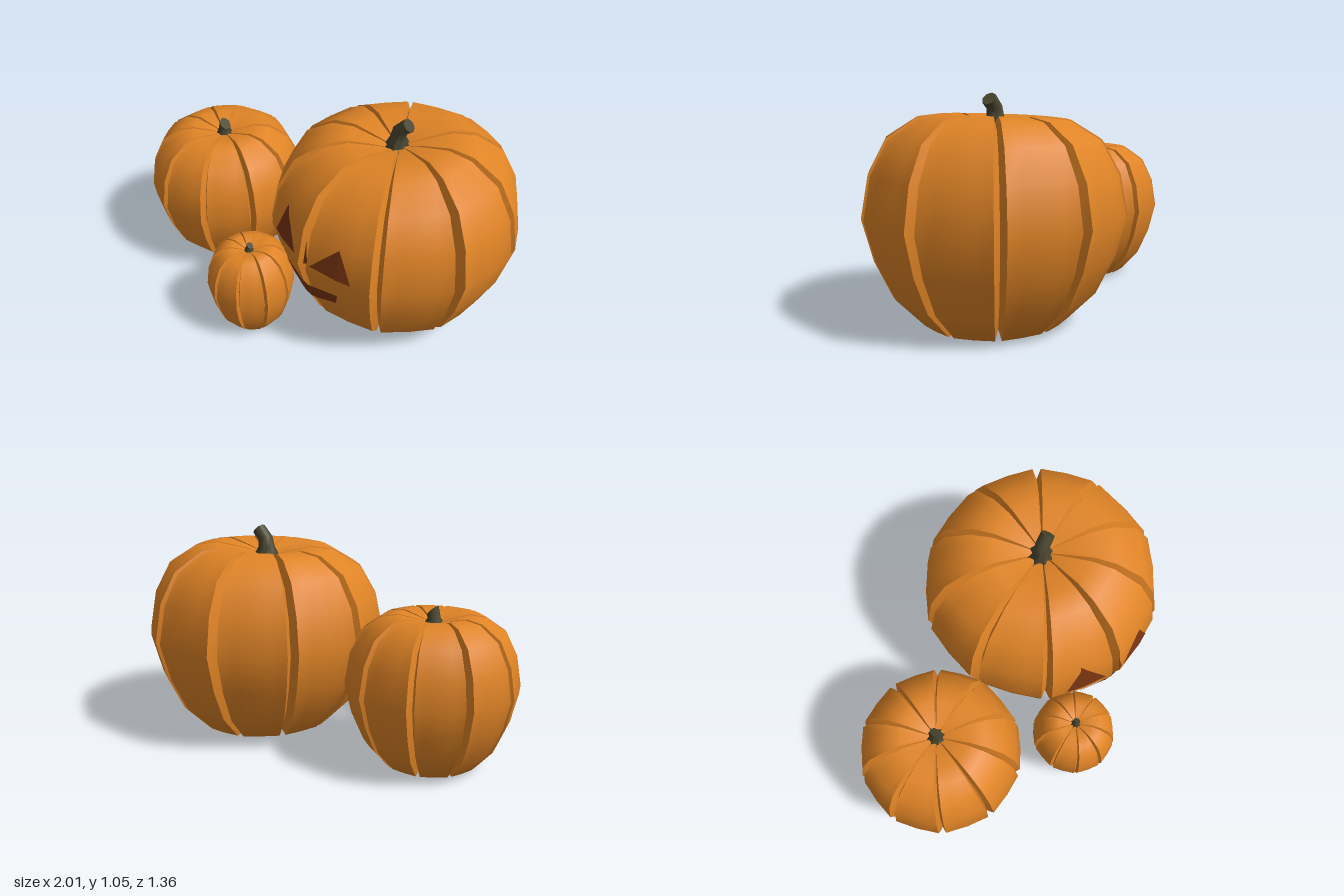
import * as THREE from 'three';
import { mergeGeometries } from 'three/addons/utils/BufferGeometryUtils.js';

const orange = new THREE.MeshStandardMaterial({ color: 0xe08426 });
orange.name = 'pumpkinOrange';
const stemGreen = new THREE.MeshStandardMaterial({ color: 0x4a4630 });
stemGreen.name = 'stemGreen';
const carved = new THREE.MeshStandardMaterial({ color: 0x7a3512, side: THREE.DoubleSide });
carved.name = 'carvedBrown';

// Smooth sheet through fn(u, v) for every listed u and v
function sheet(us, vs, fn) {
  const pos = [], index = [], n = vs.length;
  us.forEach((u) => vs.forEach((v) => pos.push(...fn(u, v))));
  for (let i = 0; i < us.length - 1; i++) {
    for (let j = 0; j < n - 1; j++) {
      const a = i * n + j, b = a + n;
      index.push(a, a + 1, b, b, a + 1, b + 1);
    }
  }
  const g = new THREE.BufferGeometry();
  g.setAttribute('position', new THREE.Float32BufferAttribute(pos, 3));
  g.setIndex(index);
  g.computeVertexNormals();
  return g;
}

// Rib outline from bottom centre to top centre: radius, height
const PROFILE = [
  [0, 0.06], [0.15, 0.03], [0.34, 0.015], [0.47, 0.15], [0.55, 0.32], [0.6, 0.51],
  [0.565, 0.7], [0.485, 0.85], [0.35, 0.935], [0.24, 0.95], [0.1, 0.92], [0, 0.89],
];
const MID = 0.485;
const RIBS = 10, STEP = 36, EDGE = 2.5;

// Ten ribs separated by narrow V grooves
function pumpkinGeometry({ x, y, z, rScale, yScale, lean }, groove) {
  const rows = PROFILE.map((_, i) => i);
  const point = (deg, row) => {
    const t = ((deg % STEP) + STEP) % STEP;
    const inGroove = t < 0.01 || t > STEP - 0.01;
    const atEdge = t < EDGE + 0.01 || t > STEP - EDGE - 0.01;
    const a = THREE.MathUtils.degToRad(deg);
    const depth = inGroove ? groove : 1;
    const r = PROFILE[row][0] * rScale * depth * (atEdge ? 1.02 : 1);
    const h = (PROFILE[row][1] - MID) * depth * (1 + lean * Math.cos(a));
    return [x + r * Math.cos(a), y + (MID + h) * yScale, z + r * Math.sin(a)];
  };
  const parts = [];
  for (let i = 0; i < RIBS; i++) {
    const s = i * STEP;
    parts.push(sheet([EDGE, 10, 18, 26, STEP - EDGE].map((d) => s + d), rows, point));
    parts.push(sheet([s + STEP - EDGE, s + STEP], rows, point));
    parts.push(sheet([s + STEP, s + STEP + EDGE], rows, point));
  }
  return mergeGeometries(parts);
}

// Bent stem from rings of [x, y, radius, tilt], with a ridged foot and a flat cut end
function stemGeometry({ x, z }, rings) {
  const around = Array.from({ length: 17 }, (_, i) => i);
  const point = (i, k) => {
    const [cx, cy, r, tilt] = rings[Math.floor(k)];
    const ridge = k < 1 ? 1 + 0.22 * (i % 2 ? -1 : 1) : 1 + 0.04 * (i % 2 ? -1 : 1);
    const a = (i / 16) * Math.PI * 2;
    const size = k % 1 ? 0 : r * ridge;
    const lx = Math.cos(a) * size;
    return [x + cx + lx * Math.cos(tilt), cy + lx * Math.sin(tilt), z + Math.sin(a) * size];
  };
  const last = rings.length - 1;
  return mergeGeometries([
    sheet(around, rings.map((_, k) => k), point),
    sheet(around, [last, last + 0.5], point),
  ]);
}

// Face cuts laid onto the front of a shell; corners: bottom right, bottom left, top left, top right
function faceCut(shell, [br, bl, tl, tr]) {
  const ray = new THREE.Raycaster();
  const dir = new THREE.Vector3(0, 0, -1);
  const steps = Array.from({ length: 13 }, (_, i) => i / 12);
  const mix = THREE.MathUtils.lerp;
  return sheet(steps, steps, (u, v) => {
    const [px, py] = [0, 1].map((k) => mix(mix(br[k], bl[k], u), mix(tr[k], tl[k], u), v));
    ray.set(new THREE.Vector3(px, py, 2), dir);
    const hit = ray.intersectObject(shell)[0];
    if (!hit) return [px, py, 0.4];
    const p = hit.point.addScaledVector(hit.face.normal, 0.006);
    return [p.x, p.y, p.z];
  });
}

export function createModel() {
  const model = new THREE.Group();
  model.name = 'pumpkinGroup';
  const add = (parent, name, geometry, material) => {
    const mesh = new THREE.Mesh(geometry, material);
    mesh.name = name;
    parent.add(mesh);
  };

  const pumpkins = [
    {
      name: 'largePumpkin', x: 0.393, y: 0, z: -0.085, rScale: 1, yScale: 1, lean: 0.03,
      stem: [[-0.01, 0.87, 0.065, 0], [-0.012, 0.94, 0.04, 0], [-0.005, 0.985, 0.035, -0.3], [0.038, 1.025, 0.034, -0.8]],
    },
    {
      name: 'mediumPumpkin', x: -0.597, y: 0.003, z: -0.035, rScale: 0.667, yScale: 0.75, lean: 0,
      stem: [[0, 0.655, 0.05, 0], [0, 0.7, 0.03, 0], [0.008, 0.735, 0.032, -0.8]],
    },
    {
      name: 'smallPumpkin', x: -0.115, y: 0.006, z: 0.46, rScale: 0.35, yScale: 0.48, lean: 0,
      stem: [[0, 0.425, 0.03, 0], [0, 0.455, 0.016, 0], [0.008, 0.472, 0.017, -0.7]],
    },
  ];
  for (const p of pumpkins) {
    const group = new THREE.Group();
    group.name = p.name;
    add(group, 'ribs', pumpkinGeometry(p, 0.91), orange);
    add(group, 'stem', stemGeometry(p, p.stem), stemGreen);
    model.add(group);
  }

  // Carved face on the large pumpkin
  const face = new THREE.Group();
  face.name = 'carvedFace';
  const shell = new THREE.Mesh(pumpkinGeometry(pumpkins[0], 1), carved);
  const cuts = {
    rightEye: [[0.15, 0.545], [-0.025, 0.53], [0.06, 0.72], [0.06, 0.72]],
    leftEye: [[0.465, 0.525], [0.25, 0.54], [0.395, 0.685], [0.395, 0.685]],
    nose: [[0.238, 0.55], [0.218, 0.54], [0.224, 0.67], [0.224, 0.67]],
    mouthRight: [[0.225, 0.305], [0.1, 0.352], [0.055, 0.418], [0.225, 0.395]],
    mouthLeft: [[0.378, 0.352], [0.225, 0.305], [0.225, 0.395], [0.392, 0.418]],
  };
  for (const [name, corners] of Object.entries(cuts)) {
    add(face, name, faceCut(shell, corners), carved);
  }
  model.add(face);
  return model;
}
